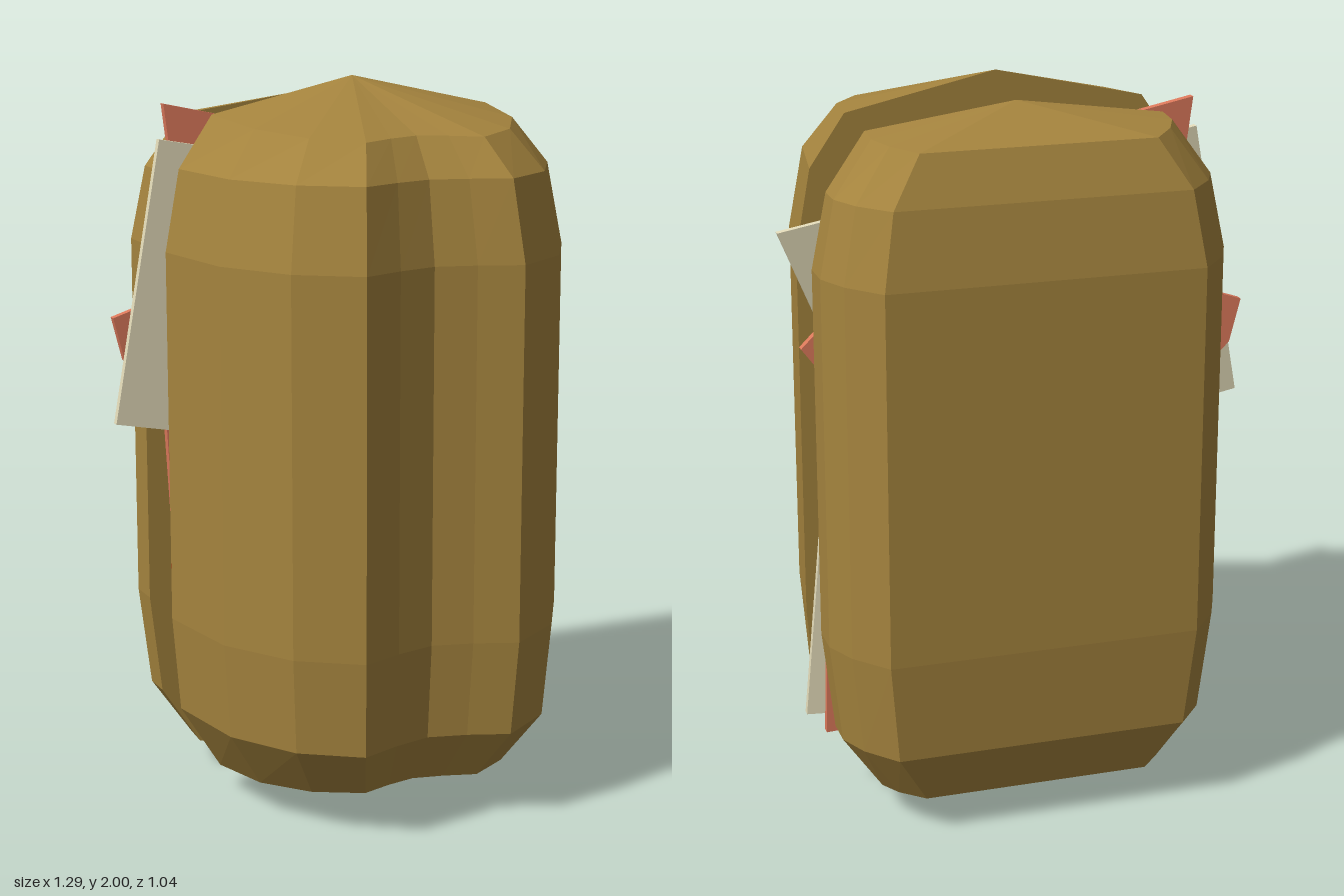
import * as THREE from 'three';

const material = (color) => new THREE.MeshStandardMaterial({ color, flatShading: true });
const breadMat = material(0xa5843e);
const pattyMat = material(0x8f2c0f);
const cheeseMat = material(0xe2dab8);
const hamMat = material(0xdc795b);

// Bun half: a mirrored cross-section (half width, depth) shrunk through rings to a point at both ends.
// Each ring is [y at the cut face, y at full depth, width scale, depth scale].
function bunHalf(name, half, centre, rings, cutZ, side) {
  const mirrored = half.filter(([x]) => x > 0).reverse().map(([x, z]) => [-x, z]);
  const section = [...half, ...mirrored];
  const depth = Math.max(...section.map((p) => p[1]));
  const n = section.length;
  const point = ([yCut, yOuter, sx, sz], j) => {
    const [x, z] = section[j % n];
    const y = yCut + (yOuter - yCut) * (z / depth);
    return [centre + side * x * sx, y, cutZ + side * z * sz];
  };
  const pos = [];
  for (let i = 0; i < rings.length - 1; i++) {
    for (let j = 0; j < n; j++) {
      const a = point(rings[i], j), b = point(rings[i], j + 1);
      const c = point(rings[i + 1], j), d = point(rings[i + 1], j + 1);
      if (rings[i][2] > 0) pos.push(...a, ...c, ...b);
      if (rings[i + 1][2] > 0) pos.push(...b, ...c, ...d);
    }
  }
  const geo = new THREE.BufferGeometry();
  geo.setAttribute('position', new THREE.Float32BufferAttribute(pos, 3));
  geo.computeVertexNormals();
  const mesh = new THREE.Mesh(geo, breadMat);
  mesh.name = name;
  return mesh;
}

// Slice: an extruded outline, sheared so that its middle lies at z = z0 + a * x + b * y.
function slice(name, mat, outline, thickness, z0, a = 0, b = 0) {
  const shape = new THREE.Shape(outline.map(([x, y]) => new THREE.Vector2(x, y)));
  const geo = new THREE.ExtrudeGeometry(shape, { depth: thickness, bevelEnabled: false });
  const p = geo.attributes.position;
  for (let i = 0; i < p.count; i++) {
    p.setZ(i, p.getZ(i) - thickness / 2 + z0 + a * p.getX(i) + b * p.getY(i));
  }
  geo.computeVertexNormals();
  const mesh = new THREE.Mesh(geo, mat);
  mesh.name = name;
  return mesh;
}

// Rough round outline for a patty
function oval(cx, cy, rx, ry, sides, turn) {
  return Array.from({ length: sides }, (_, i) => {
    const t = turn + (i / sides) * Math.PI * 2;
    return [cx + Math.cos(t) * rx, cy + Math.sin(t) * ry];
  });
}

export function createModel() {
  const model = new THREE.Group();
  model.name = 'sandwich';

  // Deep bun half with a groove down its front
  model.add(bunHalf('topBun',
    [[0.545, 0], [0.502, 0.28], [0.385, 0.475], [0.225, 0.585], [0.11, 0.54], [0, 0.512]],
    0.025,
    [[0.01, 0.01, 0, 0], [0.08, 0.12, 0.75, 0.78], [0.265, 0.265, 0.96, 0.96], [0.53, 0.53, 1, 1],
      [1.55, 1.55, 1, 1], [1.77, 1.77, 0.925, 0.93], [1.91, 1.87, 0.75, 0.78], [2, 2, 0, 0]],
    -0.065, 1));

  // Shallow bun half with a flat back
  model.add(bunHalf('bottomBun',
    [[0.545, 0], [0.545, 0.095], [0.505, 0.185], [0.425, 0.28]],
    0.025,
    [[0.035, 0.035, 0, 0], [0.09, 0.11, 0.735, 0.73], [0.26, 0.26, 0.94, 0.93], [0.54, 0.54, 1, 1],
      [1.55, 1.55, 1, 1], [1.75, 1.75, 0.925, 0.9], [1.9, 1.88, 0.735, 0.73], [1.955, 1.955, 0, 0]],
    -0.245, -1));

  // Patties
  model.add(slice('upperPatty', pattyMat, oval(0, 1.47, 0.43, 0.36, 9, 0.3), 0.07, -0.105));
  model.add(slice('middlePatty', pattyMat, oval(-0.1, 0.75, 0.43, 0.33, 8, 0.39), 0.06, -0.097));
  model.add(slice('lowerPatty', pattyMat, oval(0.08, 0.43, 0.36, 0.23, 8, 0.2), 0.04, -0.125));

  // Cheese
  model.add(slice('upperCheese', cheeseMat,
    [[-0.65, 1.08], [0.33, 0.89], [0.64, 1.63], [-0.5, 1.84]], 0.02, -0.08, 0, -0.046));
  model.add(slice('lowerCheese', cheeseMat,
    [[-0.42, 0.2], [0.6, 0.27], [0.51, 1.08], [-0.46, 1.05]], 0.02, -0.18, 0, 0.057));

  // Ham
  model.add(slice('upperHam', hamMat,
    [[-0.47, 1.93], [-0.4, 1.3], [0.1, 1.15], [0.4, 1.4], [0.36, 1.75]], 0.022, -0.126, 0.035, -0.035));
  model.add(slice('middleHam', hamMat,
    [[-0.63, 1.36], [-0.6, 1.24], [-0.3, 0.95], [0.3, 0.93], [0.59, 1.32], [0.35, 1.56], [-0.2, 1.5]],
    0.022, -0.183, 0.02));
  model.add(slice('lowerHam', hamMat,
    [[-0.03, 0.005], [0.3, 0.3], [0.36, 0.9], [0.05, 1.05], [-0.36, 0.95], [-0.34, 0.35]], 0.022, -0.2, 0, 0.03));
  model.add(slice('backHam', hamMat,
    [[-0.43, 0.3], [0.56, 0.24], [0.53, 1.38], [0.1, 1.5], [-0.49, 1.4]], 0.022, -0.228));

  return model;
}
